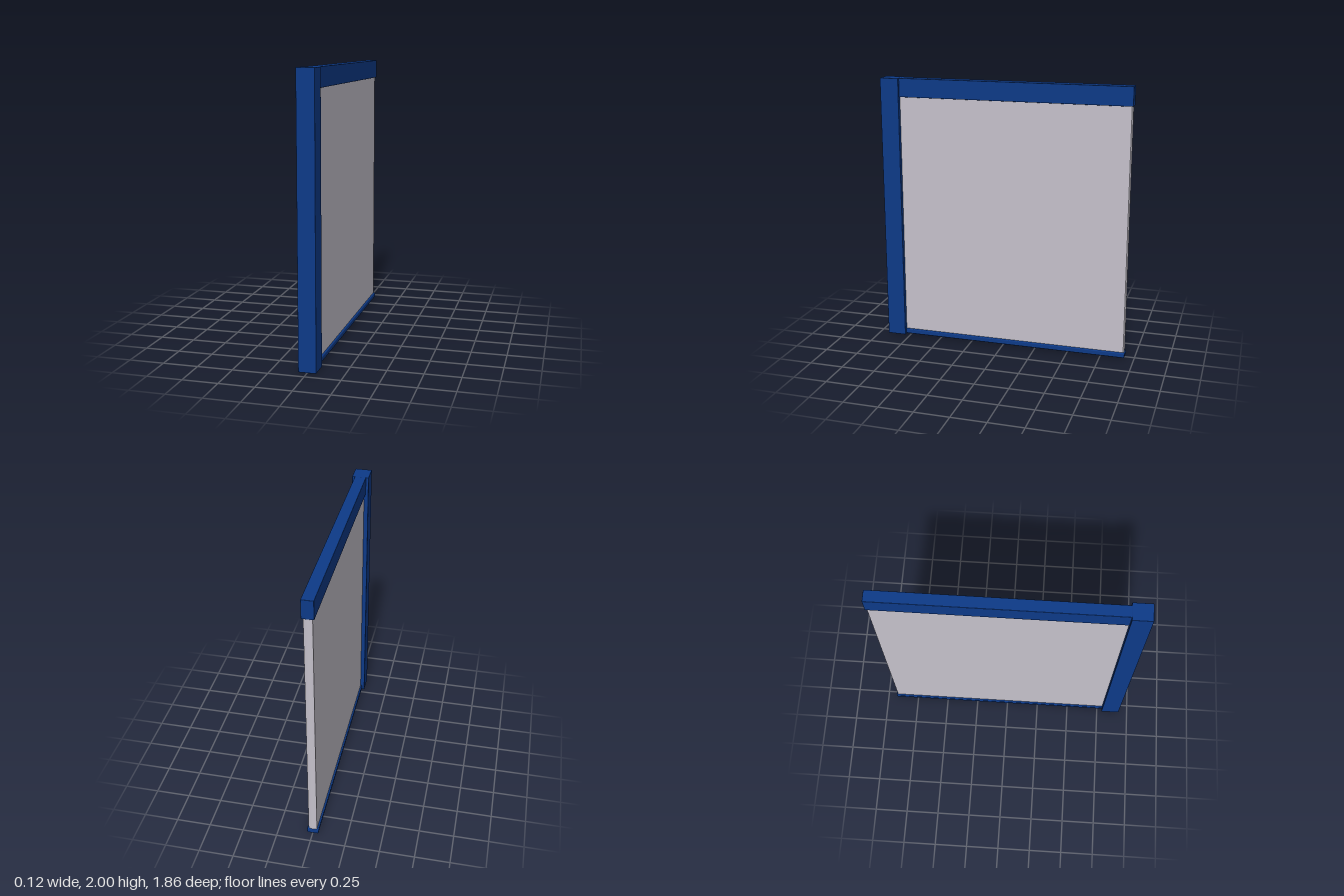
import * as THREE from 'three';
import { RoundedBoxGeometry } from 'three/addons/geometries/RoundedBoxGeometry.js';

export function createModel() {
  const group = new THREE.Group();
  const blue = new THREE.MeshStandardMaterial({ color: 0x0d3a88 });
  const pale = new THREE.MeshStandardMaterial({ color: 0xc6c2cc });

  // Box spanning x = -halfX..halfX, y0..y1, z0..z1, with slightly eased edges
  function bar(name, halfX, y0, y1, z0, z1, radius) {
    const geometry = new RoundedBoxGeometry(2 * halfX, y1 - y0, z1 - z0, 2, radius);
    const mesh = new THREE.Mesh(geometry, blue);
    mesh.position.set(0, (y0 + y1) / 2, (z0 + z1) / 2);
    mesh.name = name;
    group.add(mesh);
  }

  // Frame: thick post at the front, deep top rail, slim bottom rail
  bar('post', 0.062, 0, 2, 0.79, 0.93, 0.002);
  bar('topRail', 0.042, 1.862, 2, -0.93, 0.792, 0.003);
  bar('bottomRail', 0.042, 0.003, 0.043, -0.93, 0.792, 0.009);

  // Panel between the rails, its free end slightly crowned
  const outline = new THREE.Shape();
  outline.moveTo(-0.03, -0.795);
  outline.lineTo(0.03, -0.795);
  outline.lineTo(0.03, 0.919);
  outline.quadraticCurveTo(0, 0.932, -0.03, 0.919);
  outline.closePath();
  const geometry = new THREE.ExtrudeGeometry(outline, { depth: 1.83, bevelEnabled: false, curveSegments: 8 });
  geometry.rotateX(-Math.PI / 2);
  const panel = new THREE.Mesh(geometry, pale);
  panel.position.y = 0.037;
  panel.name = 'panel';
  group.add(panel);

  return group;
}
